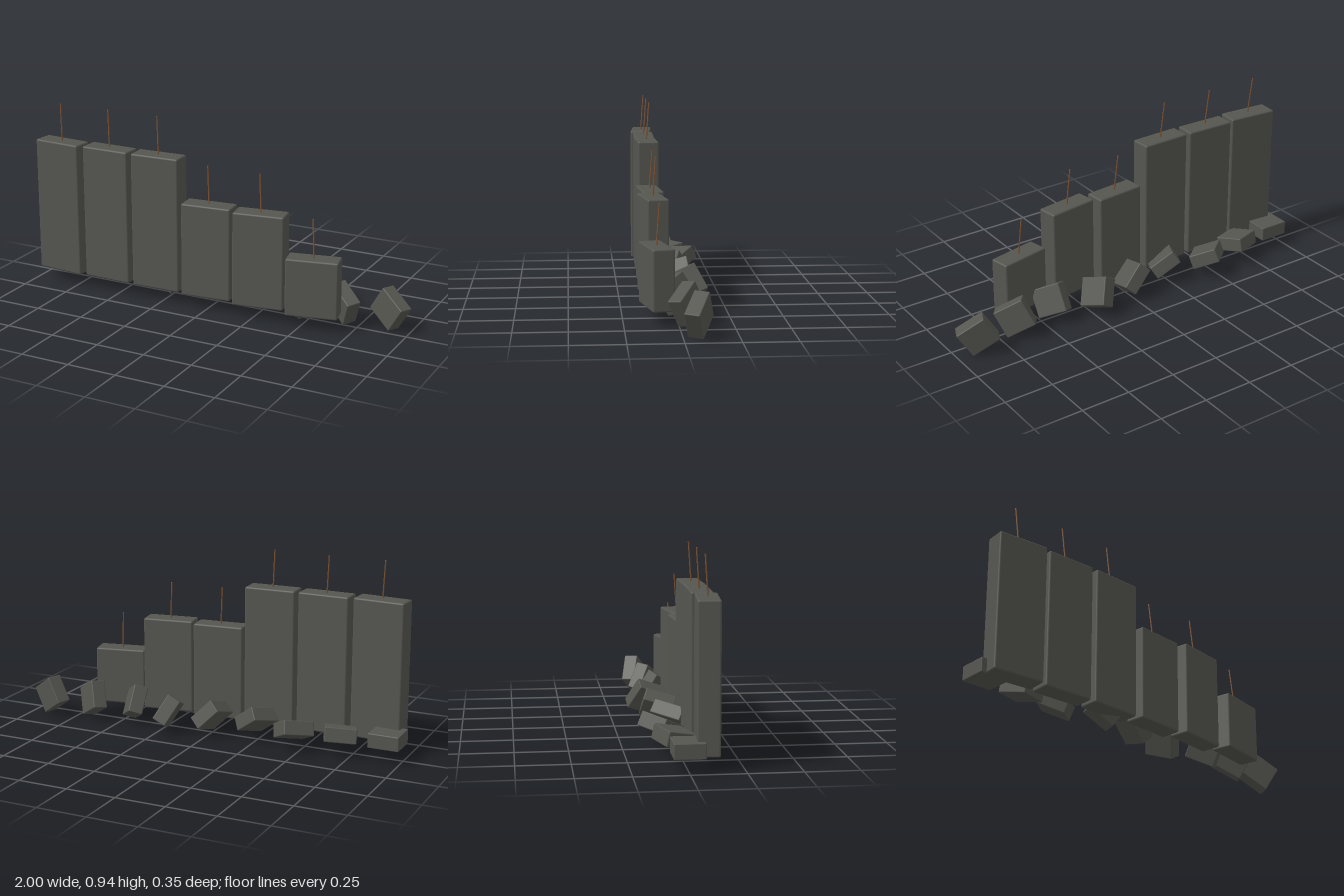
import * as THREE from 'three';
import { RoundedBoxGeometry } from 'three/addons/geometries/RoundedBoxGeometry.js';

export function createModel() {
  const model = new THREE.Group();
  model.name = 'brokenWall';

  const concrete = new THREE.MeshStandardMaterial({ color: 0x555650 });
  concrete.name = 'concrete grey';
  const rust = new THREE.MeshStandardMaterial({ color: 0x7d5333 });
  rust.name = 'rust brown';

  const add = (geometry, material, name) => {
    const mesh = new THREE.Mesh(geometry, material);
    mesh.name = name;
    model.add(mesh);
    return mesh;
  };

  // Stepped row of wall slabs on a slight arc, each with a bent rod on top
  const base = 0.074;
  const tops = [0.763, 0.763, 0.763, 0.549, 0.549, 0.363];
  const lean = new THREE.Vector3(-0.013, 0.187, -0.014);
  const up = new THREE.Vector3(0, 1, 0);
  const sunk = 0.02;
  tops.forEach((top, i) => {
    const x = -0.842 + 0.28 * i;
    const z = 0.095;
    const slab = add(new RoundedBoxGeometry(0.258, top - base, 0.105, 2, 0.009), concrete, 'wallSlab');
    slab.position.set(x, (top + base) / 2, z);
    slab.rotation.y = -0.08 + 0.057 * i;

    const length = lean.length() + sunk;
    const rod = add(new THREE.CylinderGeometry(0.0035, 0.0035, length, 6), rust, 'reinforcingRod');
    const direction = lean.clone().normalize();
    rod.quaternion.setFromUnitVectors(up, direction);
    rod.position.set(x, top, z).addScaledVector(direction, length / 2 - sunk);
  });

  // Row of rubble blocks behind the wall, tumbling further along the row
  const yaws = [0, 0.37, 0.74, 1.08, 1.45, 1.9, 2.3, 2.56, 2.7];
  const blockGeometry = new RoundedBoxGeometry(0.155, 0.073, 0.144, 2, 0.005);
  yaws.forEach((yaw, i) => {
    const block = add(blockGeometry, concrete, 'rubbleBlock');
    block.position.set(-0.92 + 0.2265 * i, 0.11, -0.035 * (i % 3));
    block.rotation.set(0.204 * i, yaw, 0.07 * i, 'YZX');
  });

  return model;
}
